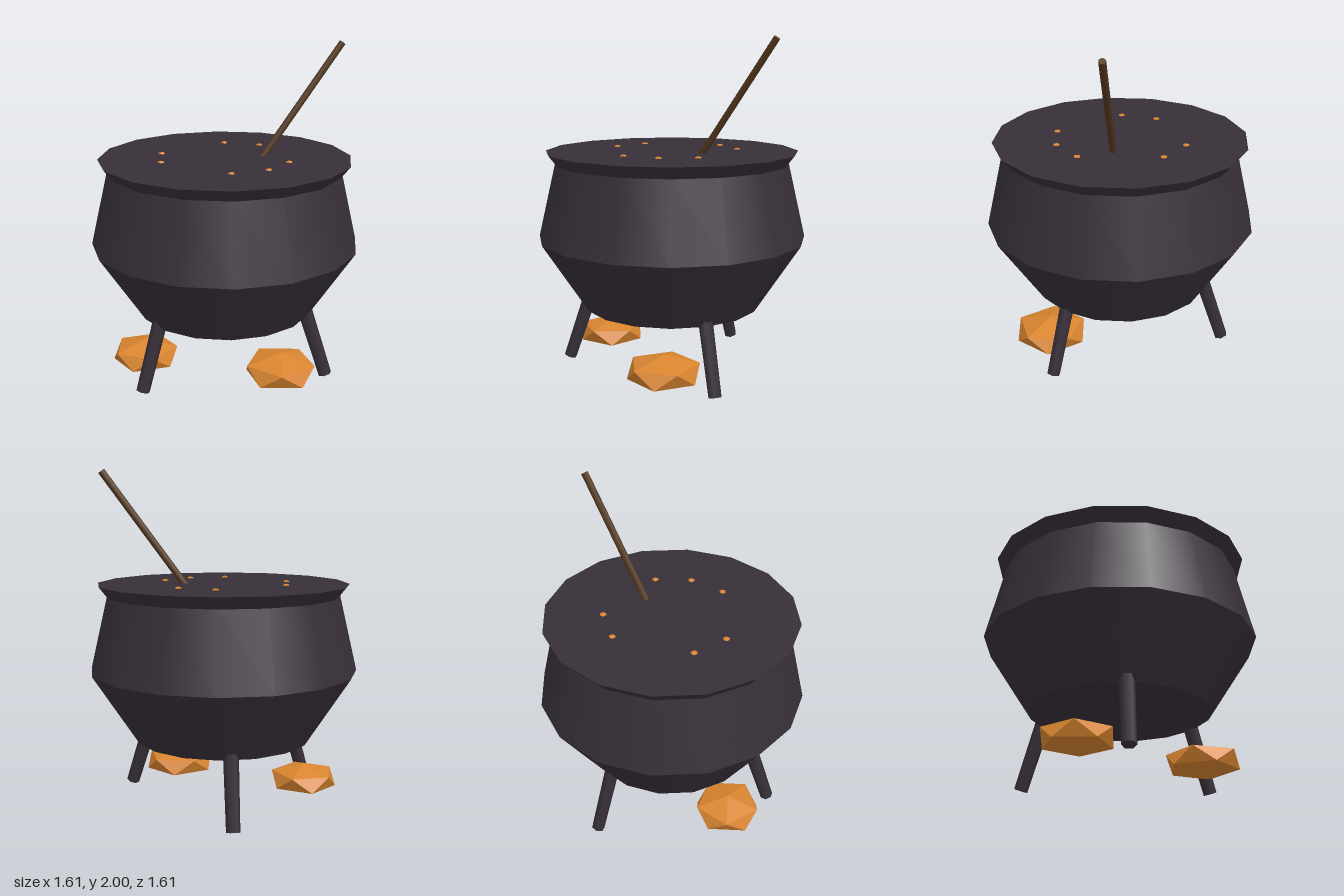
import * as THREE from 'three';

const mat = (name, color, flatShading = false) => {
  const m = new THREE.MeshStandardMaterial({ color, flatShading });
  m.name = name;
  return m;
};

export function createModel() {
  const root = new THREE.Group();
  root.name = 'cauldron';
  const iron = mat('darkIron', 0x372f39);
  const wood = mat('brownWood', 0x54381f);
  const ember = mat('emberOrange', 0xd98530, true);

  const add = (geometry, material, name, parent = root) => {
    const mesh = new THREE.Mesh(geometry, material);
    mesh.name = name;
    parent.add(mesh);
    return mesh;
  };

  // Six-sided rod between two points
  const rod = (a, b, rBottom, rTop, material, name) => {
    const dir = b.clone().sub(a);
    const mesh = add(new THREE.CylinderGeometry(rTop, rBottom, dir.length(), 6), material, name);
    mesh.position.copy(a).addScaledVector(dir, 0.5);
    mesh.quaternion.setFromUnitVectors(new THREE.Vector3(0, 1, 0), dir.normalize());
    return mesh;
  };

  // Icosahedron standing on a vertex, squashed in height
  const lump = (r, h, turn) => {
    const g = new THREE.IcosahedronGeometry(1, 0);
    g.rotateX(-Math.atan((1 + Math.sqrt(5)) / 2));
    g.rotateY(turn);
    g.scale(r, h, r);
    return g;
  };

  // Pot: one band per profile step, smooth around with sharp rings
  const pot = new THREE.Group();
  pot.name = 'pot';
  root.add(pot);
  const profile = [[0, 0.285], [0.53, 0.39], [0.805, 0.81], [0.70, 1.26], [0.755, 1.33], [0, 1.33]];
  const bands = ['base', 'lowerBelly', 'upperBelly', 'rim', 'brewSurface'];
  bands.forEach((name, i) => {
    const pts = [profile[i], profile[i + 1]].map(([x, y]) => new THREE.Vector2(x, y));
    add(new THREE.LatheGeometry(pts, 16), iron, name, pot);
  });

  // Three splayed legs
  for (let i = 0; i < 3; i++) {
    const a = (i * Math.PI * 2) / 3;
    const at = (r, y) => new THREE.Vector3(r * Math.cos(a), y, r * Math.sin(a));
    rod(at(0.648, 0.014), at(0.5, 0.45), 0.04, 0.045, iron, 'leg');
  }

  // Stirring stick
  rod(new THREE.Vector3(0.17, 1.27, -0.085), new THREE.Vector3(0.61, 1.99, -0.365), 0.021, 0.021, wood, 'stirringStick');

  // Embers under the pot
  add(lump(0.234, 0.097, Math.PI / 2), ember, 'ember').position.set(0.42, 0.122, 0.22);
  add(lump(0.22, 0.094, Math.PI), ember, 'ember').position.set(-0.437, 0.108, 0.25);

  // Bubbles on the brew
  const bubbles = [[-0.13, -0.378], [0.1, -0.385], [0.395, 0], [0.33, 0.213], [0.157, 0.36], [-0.313, 0.238], [-0.393, 0.027]];
  for (const [x, z] of bubbles) {
    add(lump(0.022, 0.01, 0), ember, 'bubble').position.set(x, 1.331, z);
  }
  return root;
}
